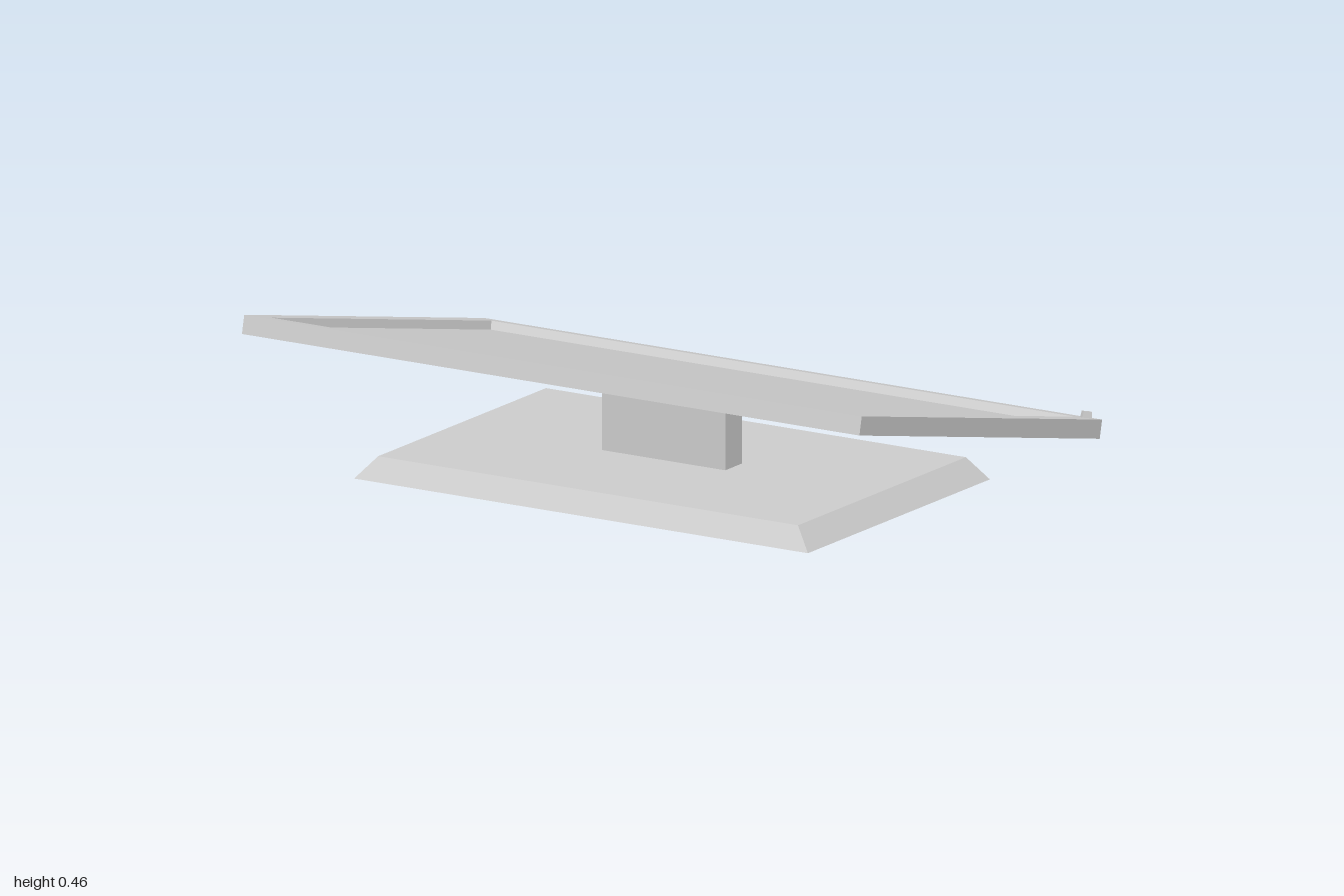
import * as THREE from 'three';

const TILT = 0.229;       // panel slope, front edge raised
const PANEL_Y = 0.289;    // height of the panel centre
const HALF_T = 0.0265;    // half the panel thickness

// Closed solid through rectangular sections [halfWidth, y, halfDepth], capped at both ends
function loftRects(sections) {
  const corners = [[1, 1], [1, -1], [-1, -1], [-1, 1]];
  const rings = sections.map(([hx, y, hz]) => corners.map(([sx, sz]) => [sx * hx, y, sz * hz]));
  const pos = [];
  const quad = (a, b, c, d) => pos.push(...a, ...b, ...c, ...a, ...c, ...d);
  for (let r = 0; r < rings.length - 1; r++) {
    for (let i = 0; i < 4; i++) {
      const j = (i + 1) % 4;
      quad(rings[r][i], rings[r][j], rings[r + 1][j], rings[r + 1][i]);
    }
  }
  const first = rings[0], last = rings[rings.length - 1];
  quad(first[3], first[2], first[1], first[0]);
  quad(...last);
  const geo = new THREE.BufferGeometry();
  geo.setAttribute('position', new THREE.Float32BufferAttribute(pos, 3));
  geo.computeVertexNormals();
  return geo;
}

export function createModel() {
  const model = new THREE.Group();
  model.name = 'tiltedDisplay';
  const material = new THREE.MeshStandardMaterial({ color: 0xcccccc, flatShading: true });
  const add = (parent, name, geometry) => {
    const mesh = new THREE.Mesh(geometry, material);
    mesh.name = name;
    parent.add(mesh);
    return mesh;
  };

  // Base plate with bevelled sides
  add(model, 'base', loftRects([[0.735, 0, 0.463], [0.68, 0.063, 0.427]]));

  // Neck, its top cut to the slope of the panel's underside
  const under = PANEL_Y - HALF_T / Math.cos(TILT);
  const z = 0.043, rise = z * Math.tan(TILT);
  const profile = new THREE.Shape([
    new THREE.Vector2(-z, 0.063), new THREE.Vector2(z, 0.063),
    new THREE.Vector2(z, under - rise), new THREE.Vector2(-z, under + rise),
  ]);
  const neck = new THREE.ExtrudeGeometry(profile, { depth: 0.4, bevelEnabled: false });
  neck.translate(0, 0, -0.2).rotateY(Math.PI / 2);   // profile x runs to -z
  add(model, 'neck', neck);

  // Tilted panel: slab, rim and recessed screen in one profile
  const panel = new THREE.Group();
  panel.name = 'panel';
  panel.position.y = PANEL_Y;
  panel.rotation.x = -TILT;
  model.add(panel);
  add(panel, 'screenCasing', loftRects([
    [1, -HALF_T, 0.6275],
    [1, HALF_T, 0.6275],
    [0.945, HALF_T, 0.574],
    [0.938, HALF_T - 0.024, 0.567],
  ]));

  // Small button on the back corner of the rim
  const button = add(panel, 'button', loftRects([[0.009, 0, 0.014], [0.008, 0.018, 0.012]]));
  button.position.set(0.965, HALF_T, -0.6);
  button.rotation.y = -0.65;

  return model;
}
